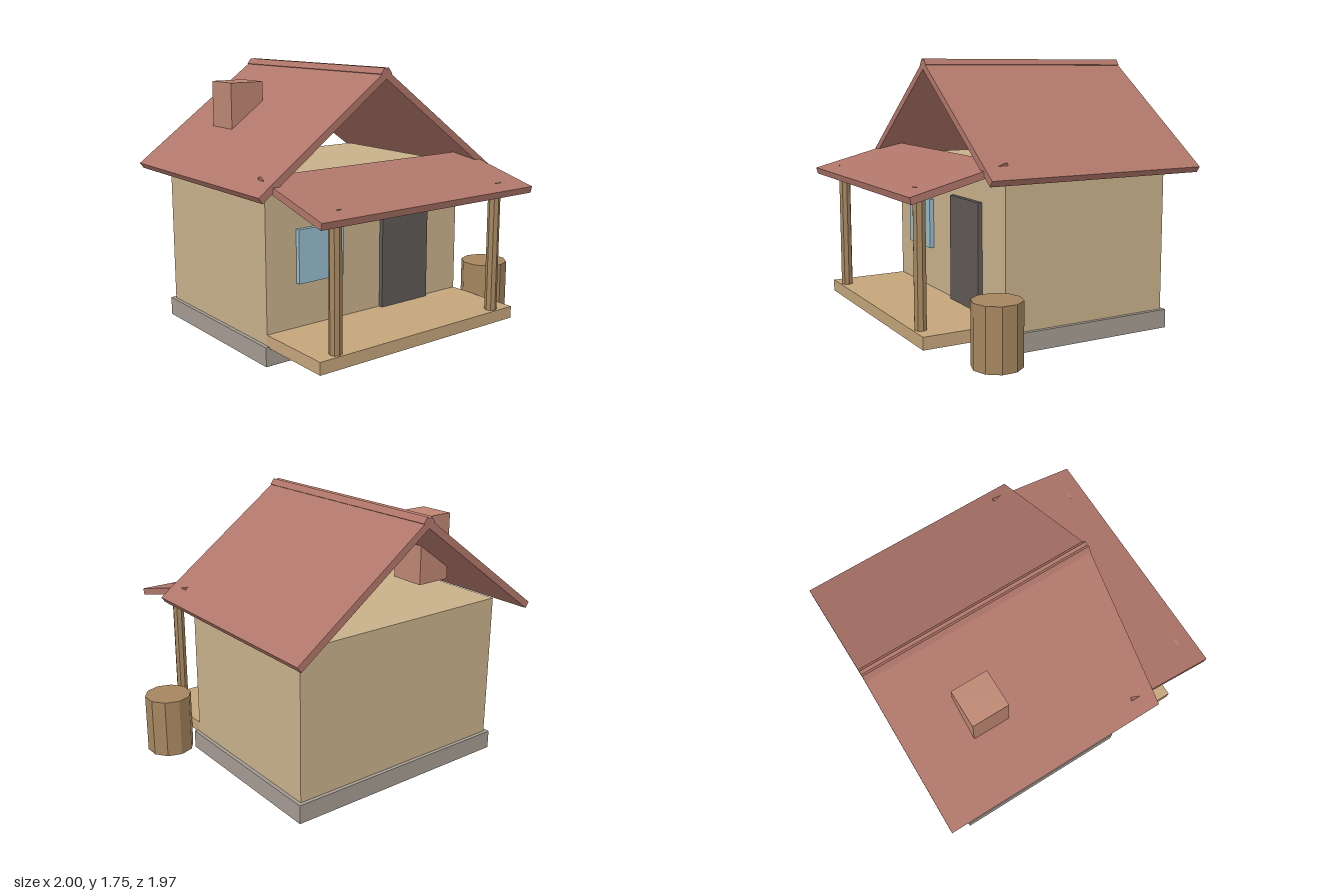
import * as THREE from 'three';

const mat = (color) => new THREE.MeshStandardMaterial({ color, flatShading: true });
const wood = mat(0xa5865f), brick = mat(0xbd8672), tile = mat(0xb0766a);
const plaster = mat(0xc8b18b), stone = mat(0xa49b92), planks = mat(0xc4a57b);
const glass = mat(0x95bccd), dark = mat(0x5f5a57);

export function createModel() {
  const model = new THREE.Group();
  const cx = -0.077; // centre line of the house; the barrel stands beside it
  const cz = -0.225;

  const add = (name, geometry, material, x, y, z) => {
    const mesh = new THREE.Mesh(geometry, material);
    mesh.name = name;
    mesh.position.set(x, y, z);
    model.add(mesh);
    return mesh;
  };
  const box = (name, material, size, pos) =>
    add(name, new THREE.BoxGeometry(...size), material, ...pos);

  // House body, its flat top open to the attic
  box('foundation', stone, [1.605, 0.122, 1.22], [cx, 0.061, cz]);
  box('walls', plaster, [1.555, 0.96, 1.17], [cx, 0.6, cz]);
  box('door', dark, [0.39, 0.775, 0.06], [0.215, 0.493, 0.36]);
  box('window', glass, [0.338, 0.338, 0.06], [-0.467, 0.64, 0.36]);

  // Two roof slabs crossing at the ridge
  for (const side of [-1, 1]) {
    const slab = box(side < 0 ? 'rightRoof' : 'leftRoof', tile,
      [1.163, 0.045, 1.512], [cx + side * 0.44, 1.394, -0.229]);
    slab.rotation.z = -side * 0.629;
  }
  box('chimney', brick, [0.24, 0.435, 0.24], [-0.515, 1.418, -0.48]);

  // Porch
  box('porchDeck', planks, [1.555, 0.078, 0.535], [cx, 0.151, 0.627]);
  box('porchRoof', tile, [1.655, 0.043, 0.63], [cx, 1.057, 0.675]).rotation.x = 0.25;
  for (const side of [-1, 1]) {
    add('porchPost', new THREE.CylinderGeometry(0.039, 0.039, 0.84, 8), wood,
      cx + side * 0.634, 0.61, 0.845);
  }

  // Barrel beside the house
  add('barrel', new THREE.CylinderGeometry(0.155, 0.155, 0.392, 10), wood, 0.853, 0.196, 0.5);

  return model;
}
